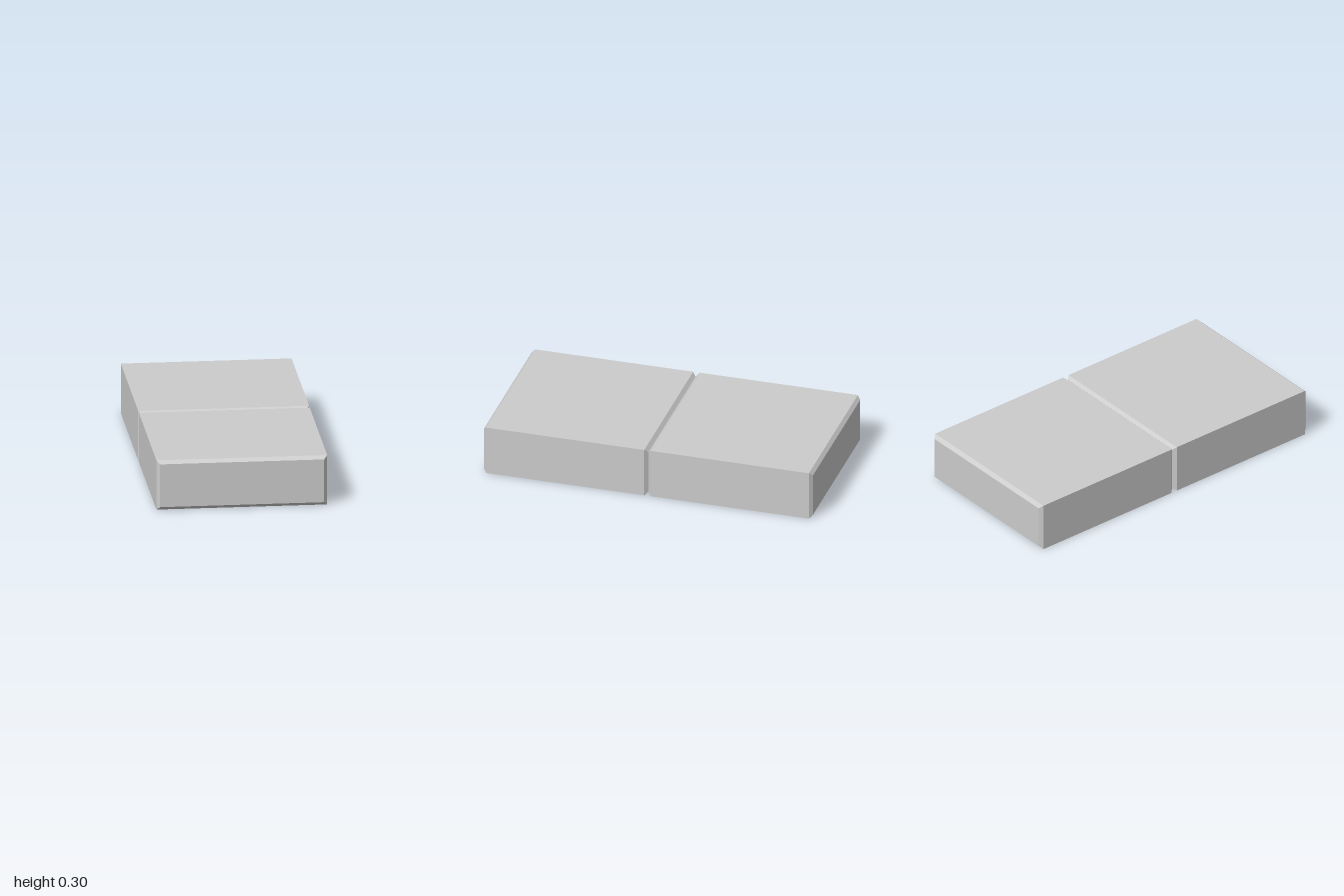
import * as THREE from 'three';

const WIDTH = 1, HEIGHT = 0.3, LENGTH = 1, CHAMFER = 0.02;

// Block whose front and back end faces are chamfered all round
function chamferedBlock() {
  const x = WIDTH / 2 - CHAMFER, y = HEIGHT / 2 - CHAMFER;
  const section = new THREE.Shape([
    new THREE.Vector2(-x, -y),
    new THREE.Vector2(x, -y),
    new THREE.Vector2(x, y),
    new THREE.Vector2(-x, y),
  ]);
  const geometry = new THREE.ExtrudeGeometry(section, {
    depth: LENGTH - 2 * CHAMFER,
    bevelEnabled: true,
    bevelSegments: 1,
    bevelSize: CHAMFER,
    bevelThickness: CHAMFER,
  });
  geometry.translate(0, HEIGHT / 2, CHAMFER - LENGTH / 2);
  return geometry;
}

export function createModel() {
  const model = new THREE.Group();
  model.name = 'blockPair';
  const material = new THREE.MeshStandardMaterial({ color: 0xcccccc, flatShading: true });
  const geometry = chamferedBlock();

  // Two equal blocks end to end, their chamfers forming a V groove at the joint
  for (const [name, side] of [['frontBlock', 1], ['backBlock', -1]]) {
    const block = new THREE.Mesh(geometry, material);
    block.name = name;
    block.position.z = side * LENGTH / 2;
    model.add(block);
  }
  return model;
}
